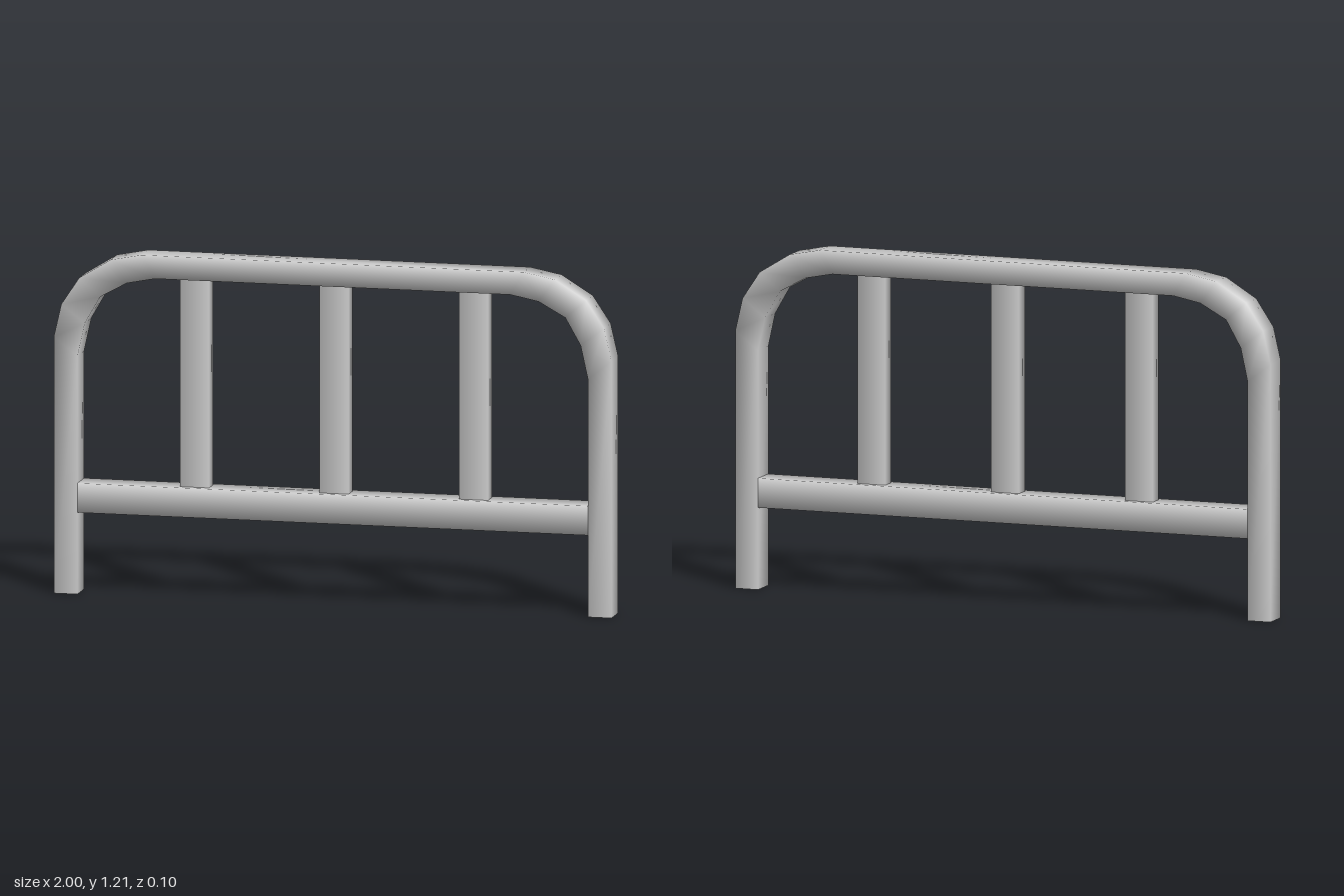
import * as THREE from 'three';

const material = new THREE.MeshStandardMaterial({ color: 0xcccccc, side: THREE.DoubleSide });
const DEPTH = 0.05; // half depth of the frame

// Hollow square tube bent into an arch, swept through mitred cross-sections
function archGeometry() {
  // [outer x, outer y, inner x, inner y] from one foot up to the top bar
  const half = [
    [1, 0, 0.915, 0],
    [1, 0.91, 0.915, 0.845],
    [0.973, 1.027, 0.889, 0.963],
    [0.909, 1.123, 0.834, 1.059],
    [0.797, 1.192, 0.738, 1.112],
    [0.685, 1.214, 0.637, 1.132],
  ];
  const mirrored = half.map(([ox, oy, ix, iy]) => [-ox, oy, -ix, iy]);
  const rings = [...mirrored, ...half.reverse()];
  const positions = [];
  const index = [];
  rings.forEach(([ox, oy, ix, iy], i) => {
    positions.push(ox, oy, DEPTH, ox, oy, -DEPTH, ix, iy, -DEPTH, ix, iy, DEPTH);
    if (i === rings.length - 1) return;
    for (let j = 0; j < 4; j++) {
      const a = i * 4 + j;
      const b = i * 4 + (j + 1) % 4;
      index.push(a, a + 4, b, b, a + 4, b + 4);
    }
  });
  const geometry = new THREE.BufferGeometry();
  geometry.setAttribute('position', new THREE.Float32BufferAttribute(positions, 3));
  geometry.setIndex(index);
  geometry.computeVertexNormals();
  return geometry;
}

// Straight four-sided tube along y with softly shaded corners
function barGeometry(width, length, depth) {
  return new THREE.CylinderGeometry(Math.SQRT1_2, Math.SQRT1_2, 1, 4, 1, true)
    .rotateY(Math.PI / 4)
    .scale(width, length, depth);
}

export function createModel() {
  const group = new THREE.Group();
  const add = (name, geometry, x, y) => {
    const mesh = new THREE.Mesh(geometry, material);
    mesh.name = name;
    mesh.position.set(x, y, 0);
    group.add(mesh);
  };

  // Legs and top bar in one piece
  add('archFrame', archGeometry(), 0, 0);

  // Horizontal rail between the legs
  add('lowerRail', barGeometry(0.104, 1.83, DEPTH * 2).rotateZ(Math.PI / 2), 0, 0.342);

  // Upright slats from the rail to the top bar
  const slat = barGeometry(0.104, 0.738, 0.058);
  [-0.5, 0, 0.5].forEach((x) => add('slat', slat, x, 0.763));

  return group;
}
